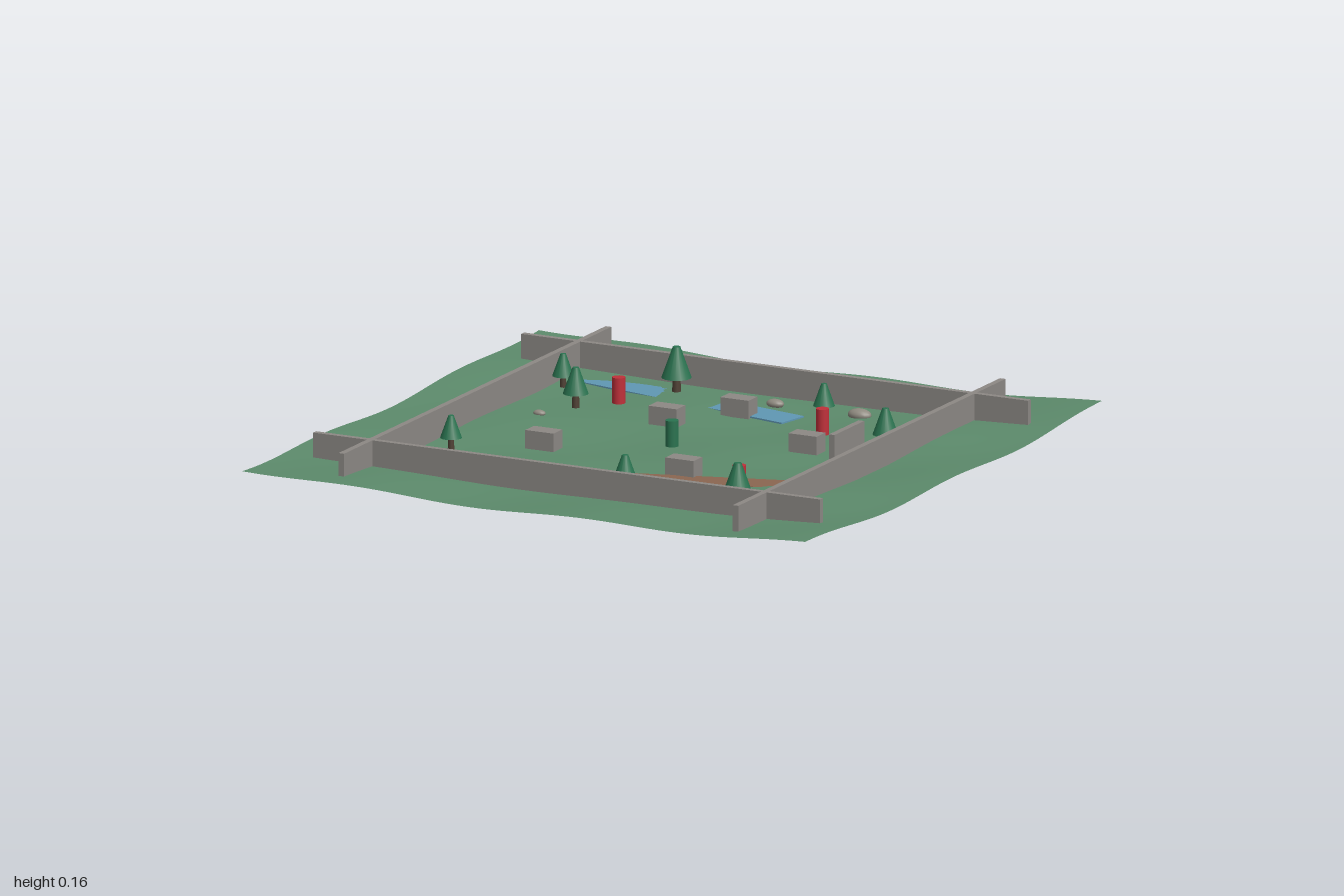
import * as THREE from 'three';

const mat = (name, color, side = THREE.FrontSide) => {
  const m = new THREE.MeshStandardMaterial({ color, side });
  m.name = name;
  return m;
};

export function createModel() {
  const model = new THREE.Group();
  model.name = 'walledField';
  const grass = mat('grass green', 0x5c8a6b, THREE.DoubleSide);
  const stone = mat('wall grey', 0x8c8884);
  const rockGrey = mat('rock grey', 0x8f8a80);
  const leaf = mat('leaf green', 0x2a7350);
  const bark = mat('bark brown', 0x4f4034);
  const red = mat('marker red', 0xc0303a);
  const water = mat('water blue', 0x5f97b3);
  const dirt = mat('dirt brown', 0x8a6650);

  const add = (name, geo, material, x, y, z, parent = model) => {
    const mesh = new THREE.Mesh(geo, material);
    mesh.name = name;
    mesh.position.set(x, y, z);
    parent.add(mesh);
    return mesh;
  };

  // Rolling ground that rises gently toward the edges
  const height = (x, z) =>
    0.008 + 0.008 * Math.sin(8 * x) * Math.cos(7 * z) + 0.02 * (x * x + z * z);
  const ground = new THREE.PlaneGeometry(2, 2, 50, 50).rotateX(-Math.PI / 2);
  const p = ground.attributes.position;
  for (let i = 0; i < p.count; i++) p.setY(i, height(p.getX(i), p.getZ(i)));
  ground.computeVertexNormals();
  add('ground', ground, grass, 0, 0, 0);

  // Four crossing perimeter walls
  for (const s of [-1, 1]) {
    add('crossWall', new THREE.BoxGeometry(1.8, 0.098, 0.02), stone, 0, 0.064, 0.7 * s);
    add('sideWall', new THREE.BoxGeometry(0.02, 0.098, 1.8), stone, 0.7 * s, 0.064, 0);
  }
  add('gatePanel', new THREE.BoxGeometry(0.02, 0.105, 0.2), stone, 0.62, 0.0975, 0);

  // Stream and path, flat strips partly covered by the ground
  const stream = add('stream', new THREE.BoxGeometry(0.9, 0.005, 0.11), water, -0.255, 0.0165, -0.55);
  stream.rotation.y = -0.2;
  const path = add('path', new THREE.BoxGeometry(0.9, 0.003, 0.1), dirt, 0.155, 0.0175, 0.39);
  path.rotation.y = 0.3;

  // Stone blocks
  const block = new THREE.BoxGeometry(0.1, 0.06, 0.06);
  for (const [x, z] of [[0, -0.45], [-0.15, -0.25], [0.4, -0.15], [-0.35, 0.2], [0.2, 0.3]])
    add('stoneBlock', block, stone, x, 0.042, z);

  // Trees: x, z, scale
  const trunk = new THREE.CylinderGeometry(0.012, 0.015, 0.06, 10);
  const crown = new THREE.CylinderGeometry(0.012, 0.048, 0.1, 16);
  const trees = [
    [-0.3, -0.6, 1], [0.55, 0.6, 1], [-0.5, -0.3, 0.85], [0.6, -0.3, 0.85],
    [0.15, 0.6, 0.85], [-0.65, -0.5, 0.72], [0.25, -0.55, 0.72], [-0.6, 0.35, 0.72],
  ];
  for (const [x, z, s] of trees) {
    const tree = new THREE.Group();
    tree.name = 'tree';
    add('trunk', trunk, bark, 0, 0.025, 0, tree);
    add('crown', crown, leaf, 0, 0.1, 0, tree);
    tree.position.set(x, 0.015, z);
    tree.scale.setScalar(s);
    model.add(tree);
  }

  // Upright marker posts
  const post = new THREE.CylinderGeometry(0.021, 0.021, 0.084, 16);
  for (const [x, z] of [[-0.4, -0.4], [0.35, -0.35], [0.45, 0.4]])
    add('redPost', post, red, x, 0.058, z);
  add('greenPost', post, leaf, 0, 0.058, 0);

  // Flattened boulders: x, z, half width
  const boulder = new THREE.SphereGeometry(1, 16, 10);
  const rocks = [
    [0.05, -0.6, 0.03], [0.35, -0.6, 0.04], [-0.55, -0.15, 0.021],
    [0.65, 0.2, 0.034], [-0.3, 0.5, 0.026],
  ];
  for (const [x, z, r] of rocks)
    add('rock', boulder, rockGrey, x, 0.022, z).scale.set(r, r * 0.5, r * 0.67);

  return model;
}
